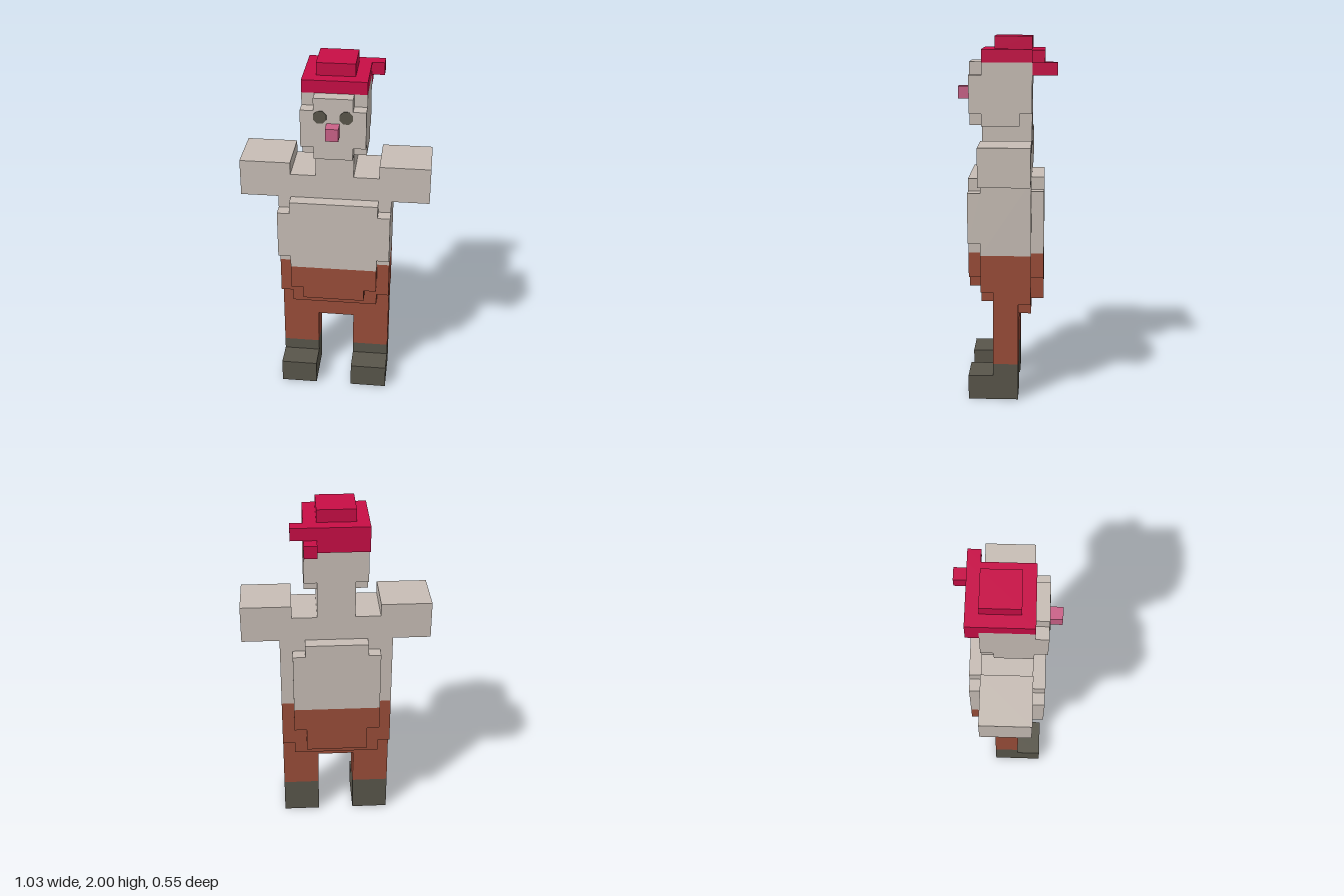
import * as THREE from 'three';

// One block of the figure; it is 29 blocks tall
const U = 2 / 29;

const material = (name, color) => {
  const m = new THREE.MeshStandardMaterial({ color });
  m.name = name;
  return m;
};

export function createModel() {
  const skin = material('skin', 0xc8beb6);
  const shorts = material('rust trousers', 0x9a4d39);
  const boots = material('dark boots', 0x59564b);
  const red = material('red hat', 0xc80e46);
  const pink = material('pink nose', 0xca6288);

  const model = new THREE.Group();
  model.name = 'figure';

  const group = (name) => {
    const g = new THREE.Group();
    g.name = name;
    model.add(g);
    return g;
  };

  // Box between two corners, in blocks
  const box = (parent, name, mat, x0, x1, y0, y1, z0, z1) => {
    const geo = new THREE.BoxGeometry((x1 - x0) * U, (y1 - y0) * U, (z1 - z0) * U);
    const mesh = new THREE.Mesh(geo, mat);
    mesh.position.set((x0 + x1) / 2 * U, (y0 + y1) / 2 * U, (z0 + z1) / 2 * U);
    mesh.name = name;
    parent.add(mesh);
  };
  // Box centred on x, given by its half width
  const mid = (parent, name, mat, half, ...yz) => box(parent, name, mat, -half, half, ...yz);

  // Legs and boots
  for (const [side, s] of [['left', 1], ['right', -1]]) {
    const leg = group(side + 'Leg');
    const [a, b] = s > 0 ? [1.5, 4.5] : [-4.5, -1.5];
    box(leg, 'trouserLeg', shorts, a, b, 3, 6, -1, 1);
    box(leg, 'bootShaft', boots, a, b, 2, 3, -1, 1);
    box(leg, 'bootFoot', boots, a, b, 0, 2, -1, 3);
  }

  // Trousers: hips, stepped seat and belly
  const hips = group('trousers');
  mid(hips, 'hipCore', shorts, 4.5, 6, 12, -1, 1);
  mid(hips, 'frontHip', shorts, 4.5, 9, 12, 1, 2);
  mid(hips, 'frontHipHem', shorts, 3.5, 8, 9, 1, 2);
  mid(hips, 'backHip', shorts, 4.5, 8, 12, -2, -1);
  mid(hips, 'backHipHem', shorts, 3.5, 7, 8, -2, -1);
  mid(hips, 'bellyLower', shorts, 3.5, 10, 12, 2, 3);
  mid(hips, 'bellyHem', shorts, 2.5, 9, 10, 2, 3);
  mid(hips, 'seat', shorts, 3.5, 10, 12, -3, -2);
  mid(hips, 'seatHem', shorts, 2.5, 8, 10, -3, -2);

  // Bare torso with rounded-off belly and back plates
  const torso = group('torso');
  mid(torso, 'chest', skin, 4.5, 12, 18, -2, 2);
  mid(torso, 'shoulders', skin, 3.5, 18, 20, -2, 2);
  mid(torso, 'bellyBottom', skin, 3.5, 12, 13, 2, 3);
  mid(torso, 'belly', skin, 4.5, 13, 17, 2, 3);
  mid(torso, 'bellyTop', skin, 3.5, 17, 18, 2, 3);
  mid(torso, 'back', skin, 3.5, 12, 17, -3, -2);
  mid(torso, 'backTop', skin, 2.5, 17, 18, -3, -2);
  box(torso, 'leftArm', skin, 3.5, 7.5, 18, 21, -2, 2);
  box(torso, 'rightArm', skin, -7.5, -3.5, 18, 21, -2, 2);
  mid(torso, 'neck', skin, 1.5, 20, 22, -2, 2);

  // Head with notched corners
  const head = group('head');
  mid(head, 'skull', skin, 2.5, 23, 27, -2, 2);
  mid(head, 'jaw', skin, 2.5, 22, 23, -1, 2);
  mid(head, 'nape', skin, 1.5, 22, 23, -2, -1);
  mid(head, 'face', skin, 2.5, 23, 26, 2, 3);
  mid(head, 'brow', skin, 1.5, 26, 27, 2, 3);
  mid(head, 'chin', skin, 1.5, 22, 23, 2, 3);
  mid(head, 'nose', pink, 0.5, 24, 25, 3, 4);

  // Eight-sided eyes
  for (const s of [1, -1]) {
    const geo = new THREE.CylinderGeometry(0.54 * U, 0.54 * U, 0.006, 8);
    geo.rotateY(Math.PI / 8).rotateX(Math.PI / 2);
    const eye = new THREE.Mesh(geo, boots);
    eye.name = s > 0 ? 'leftEye' : 'rightEye';
    eye.position.set(s * U, 25.5 * U, 3 * U + 0.001);
    head.add(eye);
  }

  // Hat with back flap and trailing knot
  const hat = group('hat');
  mid(hat, 'brim', red, 2.5, 27, 28, -3, 2);
  mid(hat, 'crown', red, 1.5, 28, 29, -2, 1);
  mid(hat, 'backFlap', red, 2.5, 26, 27, -3, -2);
  box(hat, 'sideKnot', red, 2.5, 3.5, 27, 28, -3, -2);
  box(hat, 'backKnot', red, 1.5, 2.5, 26, 27, -4, -3);

  return model;
}
